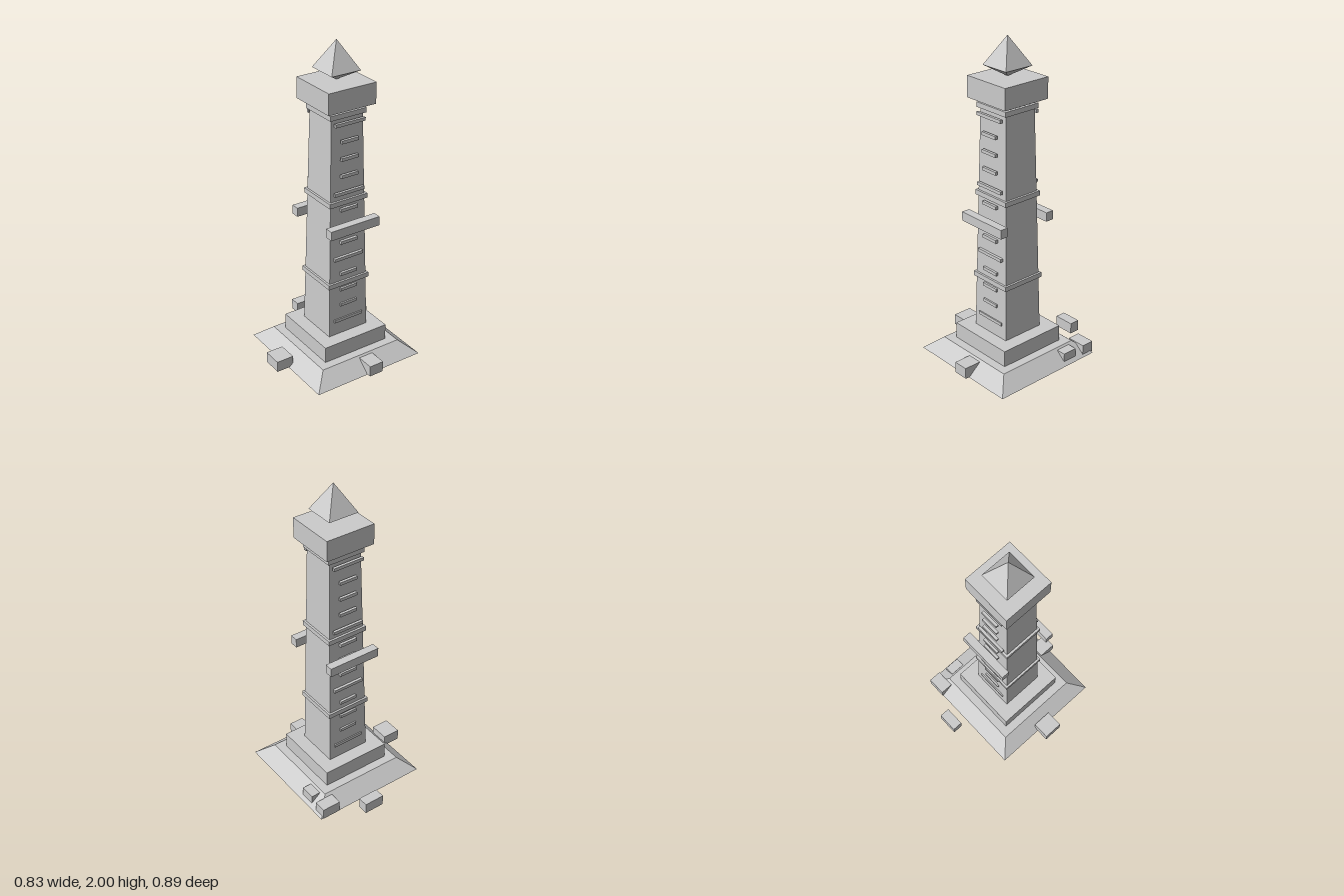
import * as THREE from 'three';

export function createModel() {
  const model = new THREE.Group();
  model.name = 'obelisk';
  const stone = new THREE.MeshStandardMaterial({ color: 0xcccccc, flatShading: true });
  stone.name = 'pale stone';

  const add = (parent, name, geometry, x, y, z) => {
    const mesh = new THREE.Mesh(geometry, stone);
    mesh.name = name;
    mesh.position.set(x, y, z);
    parent.add(mesh);
    return mesh;
  };
  // Square block or tapered block, given half widths and bottom/top heights
  const tapered = (parent, name, bottomHalf, topHalf, y0, y1, open = false) => {
    const g = new THREE.CylinderGeometry(topHalf * Math.SQRT2, bottomHalf * Math.SQRT2, y1 - y0, 4, 1, open);
    g.rotateY(Math.PI / 4);
    return add(parent, name, g, 0, (y0 + y1) / 2, 0);
  };

  // Tower, standing slightly off the middle
  const tower = new THREE.Group();
  tower.name = 'tower';
  tower.position.set(0.039, 0, 0.044);
  model.add(tower);

  tapered(tower, 'slopedBase', 0.3725, 0.277, 0, 0.082);
  tapered(tower, 'plinth', 0.223, 0.223, 0.082, 0.185);
  tapered(tower, 'shaft', 0.138, 0.106, 0.185, 1.64);
  tapered(tower, 'capital', 0.159, 0.159, 1.64, 1.768);

  // Raised bands around the shaft
  [[0.535, 0.143], [1.067, 0.132], [1.6, 0.122]].forEach(([y, half]) =>
    tapered(tower, 'band', half, half, y - 0.015, y + 0.015));

  // Pointed crystal on top
  tapered(tower, 'crystalLower', 0, 0.097, 1.768, 1.83, true);
  tapered(tower, 'crystalUpper', 0.097, 0, 1.83, 2, true);

  // Rungs and crossbars on the front and back
  for (const side of [1, -1]) {
    for (let i = 0; i < 13; i++) {
      const width = i % 4 === 0 ? 0.202 : 0.116;
      add(tower, 'rung', new THREE.BoxGeometry(width, 0.02, 0.017), 0, 0.281 + i * 0.1064, side * 0.135);
    }
    add(tower, 'crossbar', new THREE.BoxGeometry(0.34, 0.057, 0.052), 0, 0.919, side * 0.177);
  }

  // Loose blocks around the base: x0, x1, z0, z1
  const blocks = [
    [0.019, 0.114, 0.333, 0.443],
    [-0.415, -0.304, -0.03, 0.093],
    [0.035, 0.165, -0.446, -0.38],
    [0.278, 0.398, -0.333, -0.252],
    [0.329, 0.389, -0.197, -0.101],
  ];
  for (const [x0, x1, z0, z1] of blocks) {
    add(model, 'looseBlock', new THREE.BoxGeometry(x1 - x0, 0.07, z1 - z0),
      (x0 + x1) / 2, 0.038, (z0 + z1) / 2);
  }
  return model;
}
